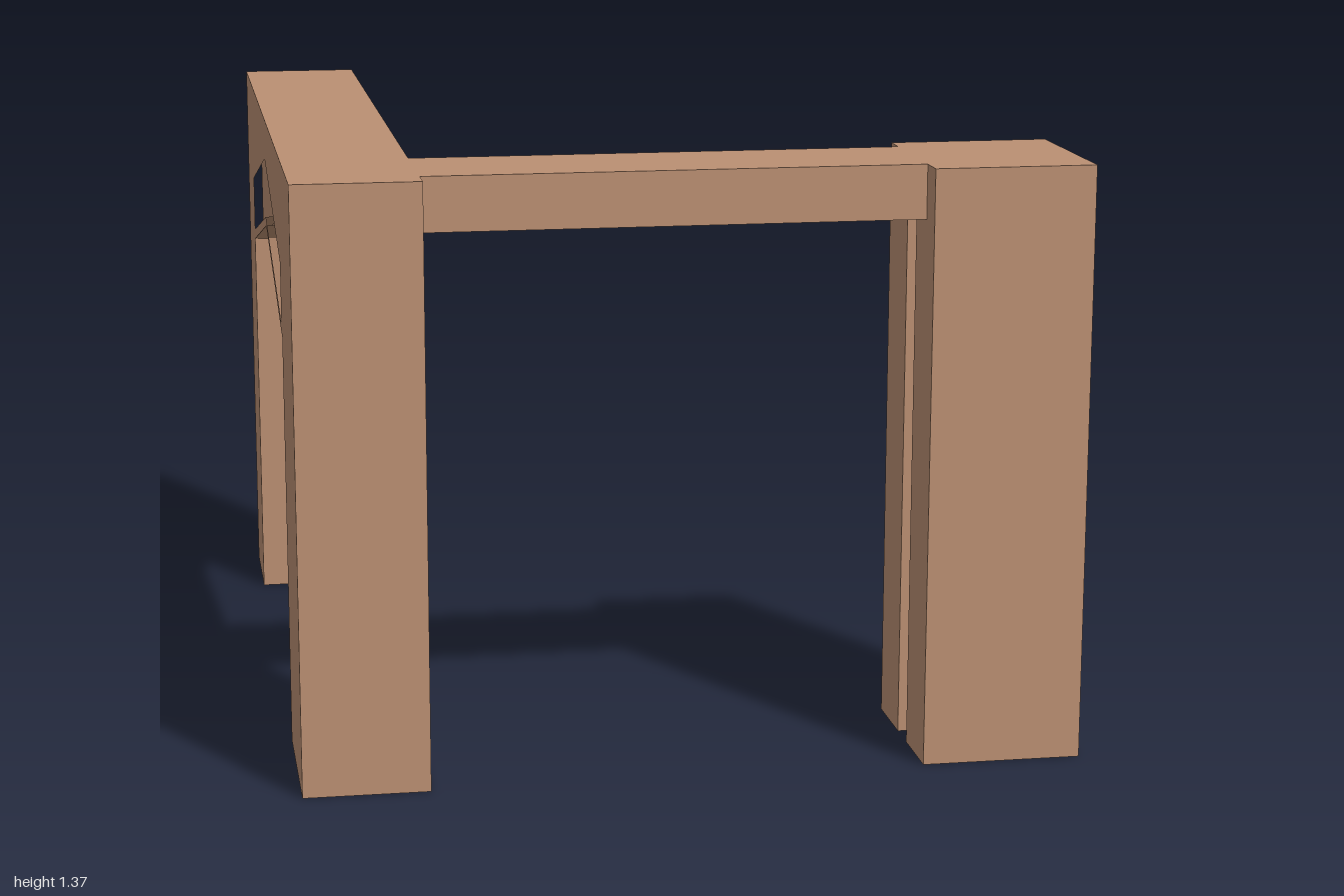
import * as THREE from 'three';

const H = 1.365;        // overall height
const GROOVE = 0.03;    // depth of the door channel
const RECESS = 0.035;   // depth of the arch panels
const G0 = 0.76, G1 = 0.84; // channel limits along z

const outline = (pts, Type = THREE.Shape) => new Type(pts.map(([a, b]) => new THREE.Vector2(a, b)));

// Extrude a [z, y] profile along x, from x0 to x1
function alongX(pts, x0, x1, hole) {
  const flip = (list) => list.map(([z, y]) => [-z, y]);
  const shape = outline(flip(pts));
  if (hole) shape.holes.push(outline(flip(hole), THREE.Path));
  return new THREE.ExtrudeGeometry(shape, { depth: x1 - x0, bevelEnabled: false })
    .rotateY(Math.PI / 2).translate(x0, 0, 0);
}

// Extrude an [x, z] plan upwards from the ground
function alongY(pts, height) {
  const shape = outline(pts.map(([x, z]) => [x, -z]));
  return new THREE.ExtrudeGeometry(shape, { depth: height, bevelEnabled: false }).rotateX(-Math.PI / 2);
}

// Post plan with a channel cut into its inner face
function postPlan(outer, inner, back) {
  const cut = inner + Math.sign(outer - inner) * GROOVE;
  return [[outer, back], [outer, 1], [inner, 1], [inner, G1], [cut, G1], [cut, G0], [inner, G0], [inner, back]];
}

export function createModel() {
  const group = new THREE.Group();
  group.name = 'cornerGateway';
  const clay = new THREE.MeshStandardMaterial({ color: 0xbb9073 });
  clay.name = 'clay brown';
  const add = (name, geometry) => {
    const mesh = new THREE.Mesh(geometry, clay);
    mesh.name = name;
    group.add(mesh);
  };

  // Front posts
  add('cornerPost', alongY(postPlan(-0.885, -0.6, 0.6), H));
  add('endPost', alongY(postPlan(0.885, 0.52, 0.595), H));

  // Lintel with the channel continued on its underside; its ends cap the post channels
  const y0 = 1.242;
  add('lintel', alongX([
    [0.66, y0], [G0, y0], [G0, y0 + GROOVE], [G1, y0 + GROOVE],
    [G1, y0], [0.93, y0], [0.93, H], [0.66, H],
  ], -0.6 - GROOVE, 0.52 + GROOVE));

  // Side wall with a pointed arch and a recessed panel on each face
  const wall = [
    [-1, 0], [-0.71, 0], [-0.71, 0.955], [-0.055, 1.1], [0.6, 0.955], [0.6, H], [-1, H],
  ];
  const panel = [
    [-0.685, 0.985], [-0.055, 1.122], [0.575, 0.985], [0.575, 1.122], [-0.055, 1.265], [-0.685, 1.122],
  ];
  add('archCore', alongX(wall, -0.885 + RECESS, -0.6 - RECESS));
  add('archOuterFace', alongX(wall, -0.885, -0.885 + RECESS, panel));
  add('archInnerFace', alongX(wall, -0.6 - RECESS, -0.6, panel));

  return group;
}
